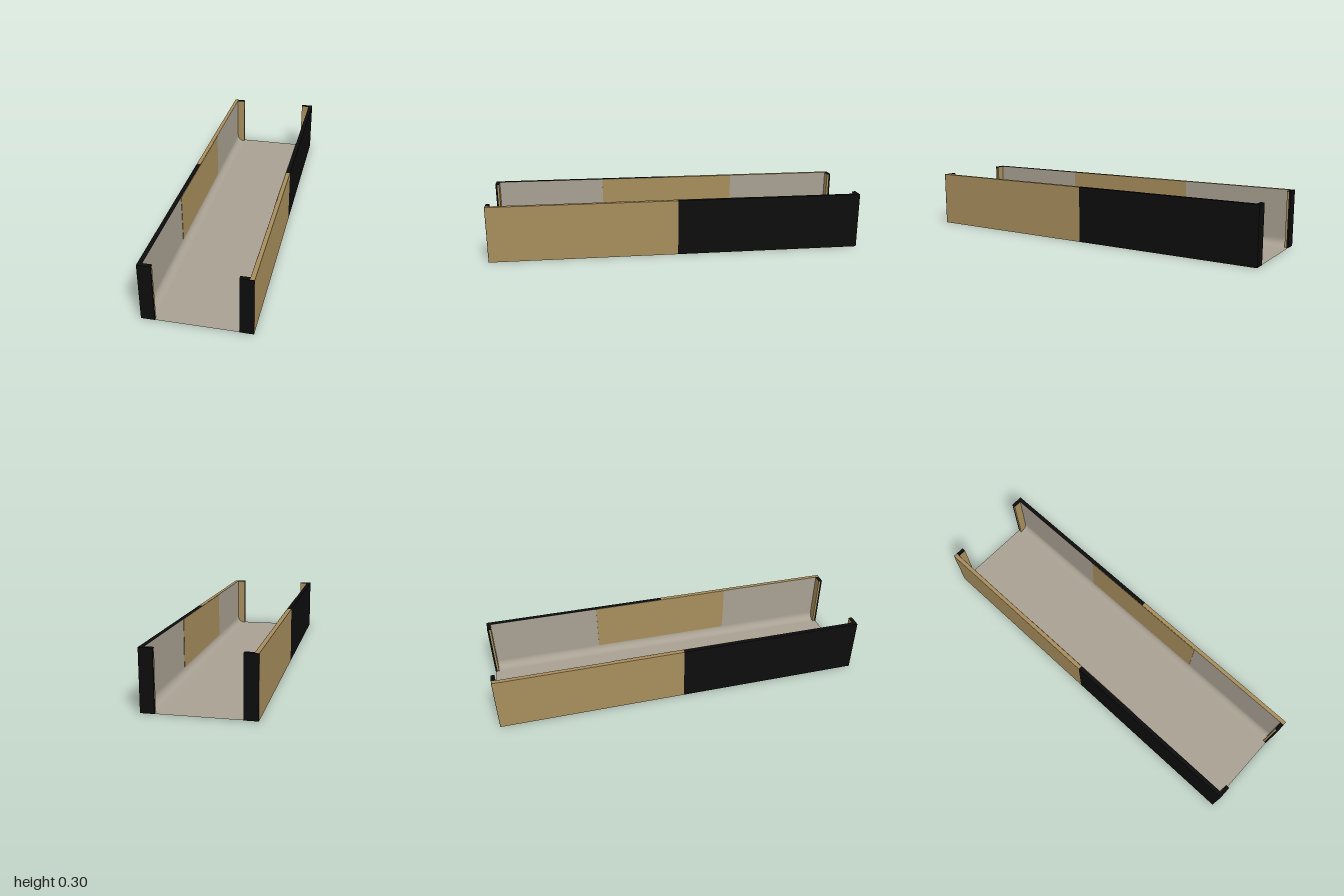
import * as THREE from 'three';

const mat = (name, color, side = THREE.FrontSide) => {
  const m = new THREE.MeshStandardMaterial({ color, side });
  m.name = name;
  return m;
};

export function createModel() {
  const tan = mat('tan', 0xa88e5c);
  const black = mat('black', 0x0d0d0d);
  const grey = mat('warm grey', 0xa9a193, THREE.DoubleSide);
  const H = 0.3, OUT = 0.267, IN = 0.246, LIP = 0.2, R = 0.04;

  // Box given by its min and max corners
  const box = (parent, name, material, [x0, y0, z0], [x1, y1, z1]) => {
    const g = new THREE.BoxGeometry(x1 - x0, y1 - y0, z1 - z0);
    g.translate((x0 + x1) / 2, (y0 + y1) / 2, (z0 + z1) / 2);
    const m = new THREE.Mesh(g, material);
    m.name = name;
    parent.add(m);
  };

  const model = new THREE.Group();
  model.name = 'channel';

  // Thin liner: floor, rounded corners and inner walls as one bent sheet
  const half = [[0, 0], [0.202, 0]];
  for (let i = 0; i <= 8; i++) {
    const a = (i / 8) * Math.PI / 2;
    half.push([0.245 - R + R * Math.sin(a), R - R * Math.cos(a)]);
  }
  half.push([0.245, R + 0.003], [0.245, H - 0.001]);
  const profile = [...half.slice(1).reverse().map(([x, y]) => [-x, y]), ...half];
  const sheet = new THREE.PlaneGeometry(1, 2, profile.length - 1, 1).rotateX(-Math.PI / 2);
  const p = sheet.attributes.position;
  for (let i = 0; i < p.count; i++) {
    const [x, y] = profile[i % profile.length];
    p.setXYZ(i, x, y + 0.0005, p.getZ(i) * 0.999);
  }
  sheet.computeVertexNormals();
  const liner = new THREE.Mesh(sheet, grey);
  liner.name = 'liner';
  model.add(liner);

  // One side on +x, the other is the same turned half round
  for (const turn of [0, Math.PI]) {
    const side = new THREE.Group();
    side.name = turn ? 'rightSide' : 'leftSide';
    side.rotation.y = turn;
    model.add(side);

    // Two-tone outer wall
    box(side, 'tanWall', tan, [IN, 0, 0], [OUT, H, 0.998]);
    box(side, 'blackWall', black, [IN, 0, -0.998], [OUT, H, 0]);
    // Inset panel on the inner wall
    box(side, 'innerPanel', tan, [0.243, R, -0.385], [0.245, H, 0.385]);

    // End lips: tan inside, black outside and on top
    for (const e of [1, -1]) {
      const span = (a, b) => [Math.min(e * a, e * b), Math.max(e * a, e * b)];
      const [t0, t1] = span(0.98, 0.99);
      const [b0, b1] = span(0.99, 0.998);
      const [c0, c1] = span(0.98, 0.99);
      const [f0, f1] = span(0.998, 1);
      box(side, 'lipInner', tan, [LIP, 0, t0], [IN, H - 0.003, t1]);
      box(side, 'lipOuter', black, [LIP, 0, b0], [IN, H, b1]);
      box(side, 'lipCap', black, [LIP, H - 0.003, c0], [IN, H, c1]);
      box(side, 'endPlate', black, [LIP, 0, f0], [OUT, H, f1]);
    }
  }
  return model;
}
